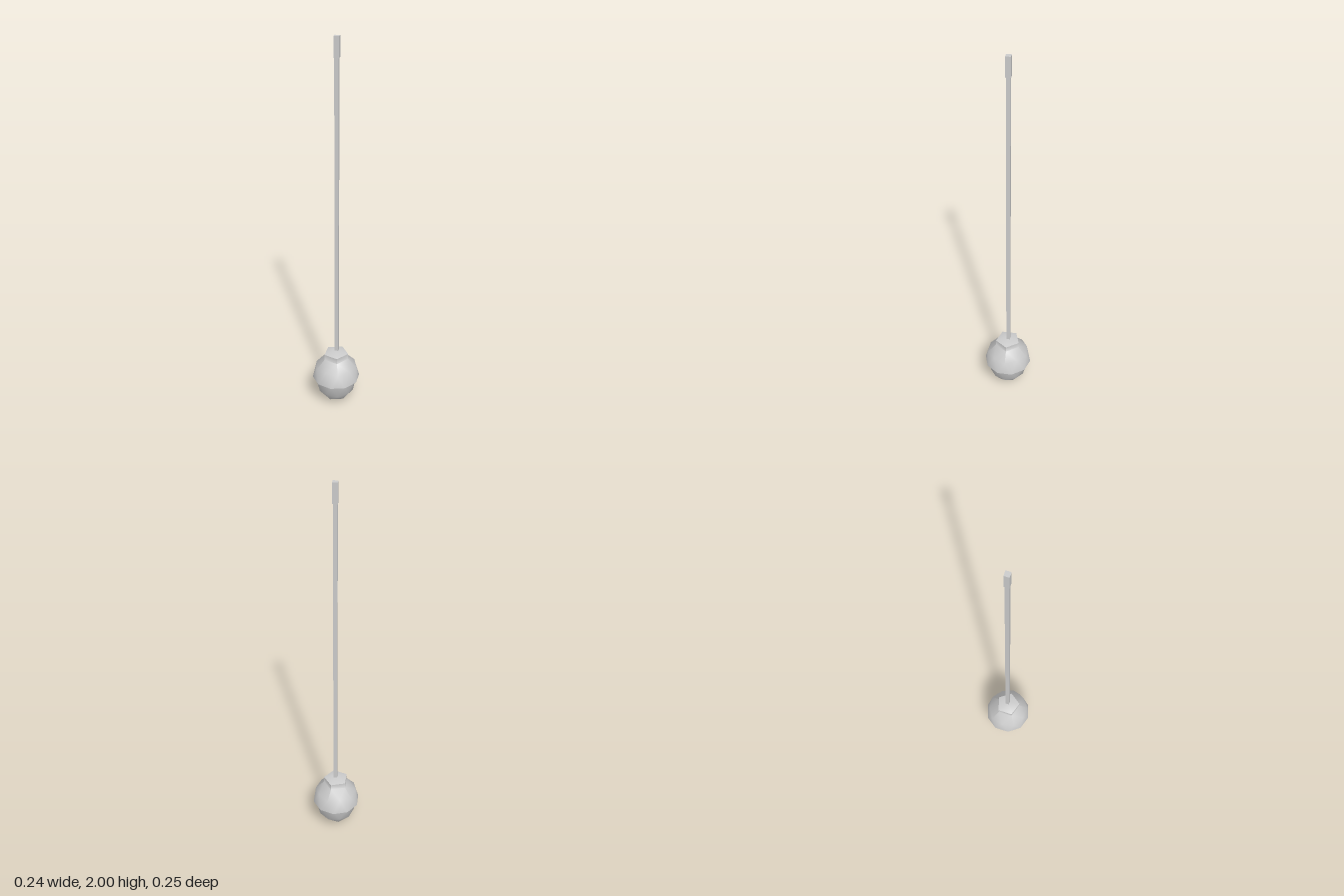
import * as THREE from 'three';
import { toCreasedNormals } from 'three/addons/utils/BufferGeometryUtils.js';

const material = new THREE.MeshStandardMaterial({ color: 0xcccccc, side: THREE.DoubleSide });
const RIM_Y = 0.145;

// Half of a once-subdivided icosahedron, pole up, from its rings of corners.
// lift raises everything above the rim; neck then raises the five-sided cap.
function halfIcosphere(radius, height, lift = 0, neck = 0) {
  const positions = [];
  const index = [];
  const corner = (latitude, degrees, extra) => {
    const a = THREE.MathUtils.degToRad(degrees);
    const l = THREE.MathUtils.degToRad(latitude);
    const r = radius * Math.cos(l);
    positions.push(r * Math.cos(a), height * Math.sin(l) + extra, r * Math.sin(a));
  };
  for (let i = 0; i < 10; i++) corner(0, 18 + 36 * i, 0);
  for (let i = 0; i < 10; i++) corner(i % 2 ? 31.72 : 26.57, 36 * i, lift);
  for (let i = 0; i < 5; i++) corner(58.28, 72 * i, lift);
  for (let i = 0; i < 5; i++) corner(58.28, 72 * i, lift + neck);
  corner(90, 0, lift + neck);

  const rim = (i) => i % 10;
  const shoulder = (i) => 10 + (i % 10);
  const base = (i) => 20 + (i % 5);
  const cap = (i) => (neck ? 25 : 20) + (i % 5);
  for (let i = 0; i < 10; i++) {
    index.push(rim(i), shoulder(i), shoulder(i + 1));
    index.push(rim(i), shoulder(i + 1), rim(i + 1));
  }
  for (let i = 0; i < 5; i++) {
    const s = 2 * i;
    index.push(base(i), shoulder(s + 1), shoulder(s));
    index.push(base(i), base(i + 1), shoulder(s + 1));
    index.push(base(i + 1), shoulder(s + 2), shoulder(s + 1));
    if (neck) index.push(base(i), cap(i), cap(i + 1), base(i), cap(i + 1), base(i + 1));
    index.push(30, cap(i + 1), cap(i));
  }
  const geometry = new THREE.BufferGeometry();
  geometry.setAttribute('position', new THREE.Float32BufferAttribute(positions, 3));
  geometry.setIndex(index);
  return toCreasedNormals(geometry, 1.05);
}

export function createModel() {
  const model = new THREE.Group();
  model.name = 'pendantLamp';
  const add = (name, geometry, x, y, z) => {
    const mesh = new THREE.Mesh(geometry, material);
    mesh.name = name;
    mesh.position.set(x, y, z);
    model.add(mesh);
  };

  // Shade with its raised five-sided cap
  add('shade', halfIcosphere(0.127, 0.127, 0.012, 0.031), 0, RIM_Y, 0);

  // Narrow underside between the shade and the bulb
  const lip = new THREE.RingGeometry(0.113, 0.127, 10, 1, Math.PI / 10);
  add('shadeLip', lip.rotateX(Math.PI / 2), 0, RIM_Y, 0);

  // Bulb hanging below
  const bulb = halfIcosphere(0.113, RIM_Y).rotateX(Math.PI).rotateY(Math.PI);
  add('bulb', bulb, 0, RIM_Y, 0);

  // Square hanging rod and its ceiling fitting
  add('rod', new THREE.BoxGeometry(0.02, 1.61, 0.02), 0.003, 1.1, -0.003);
  add('ceilingFitting', new THREE.BoxGeometry(0.026, 0.1, 0.026), 0.003, 1.95, -0.003);

  return model;
}
